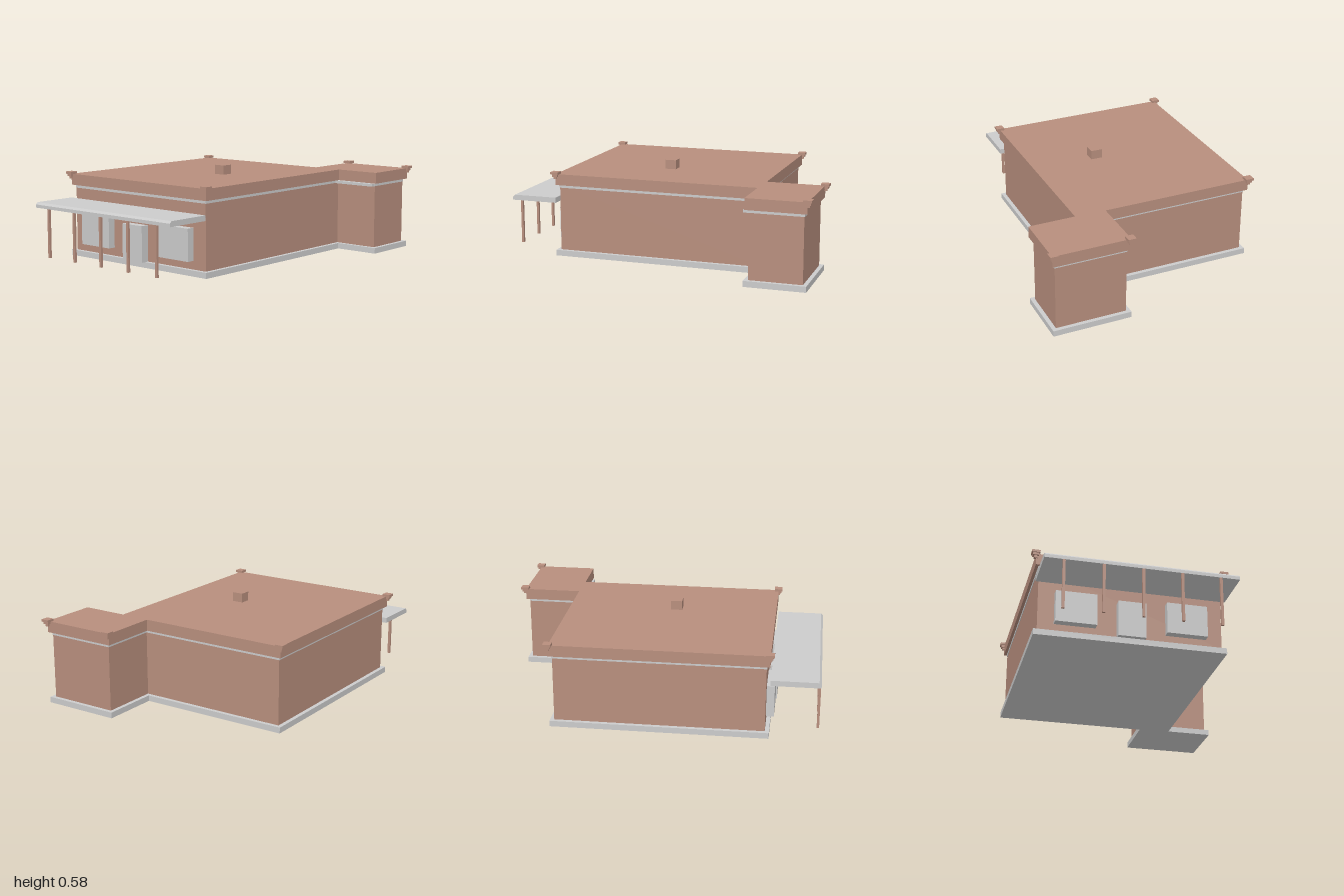
import * as THREE from 'three';

const grey = new THREE.MeshStandardMaterial({ color: 0xcccccc });
const brown = new THREE.MeshStandardMaterial({ color: 0xb78e7d });

export function createModel() {
  const model = new THREE.Group();

  function add(name, geometry, material) {
    const mesh = new THREE.Mesh(geometry, material);
    mesh.name = name;
    model.add(mesh);
    return mesh;
  }

  // Box given by its extents on each axis
  function box(name, material, x0, x1, y0, y1, z0, z1) {
    const g = new THREE.BoxGeometry(x1 - x0, y1 - y0, z1 - z0);
    g.translate((x0 + x1) / 2, (y0 + y1) / 2, (z0 + z1) / 2);
    return add(name, g, material);
  }

  // Layer of the building: hall plus rear annex footprint, grown outward by o
  function layer(name, material, o, y0, y1) {
    const outline = [
      [-0.70 - o, 0.68 + o], [0.41 + o, 0.68 + o],
      [0.41 + o, -0.625 + o], [0.70 + o, -0.625 + o],
      [0.70 + o, -0.95 - o], [0.26 - o, -0.95 - o],
      [0.26 - o, -0.59 - o], [-0.70 - o, -0.59 - o],
    ];
    const shape = new THREE.Shape(outline.map(([x, z]) => new THREE.Vector2(x, -z)));
    const g = new THREE.ExtrudeGeometry(shape, { depth: y1 - y0, bevelEnabled: false });
    g.rotateX(-Math.PI / 2).translate(0, y0, 0);
    add(name, g, material);
  }

  layer('foundation', grey, 0.025, 0, 0.036);
  layer('walls', brown, 0, 0.036, 0.455);
  layer('trimBand', grey, 0.003, 0.436, 0.455);
  layer('parapetAndRoof', brown, 0.021, 0.455, 0.525);
  box('annexTrim', grey, 0.41, 0.70, 0.435, 0.452, -0.63, -0.592);

  // Stepped ornaments on the roof corners
  const corners = [[-0.724, 0.70], [0.43, 0.70], [-0.724, -0.61], [0.247, -0.975], [0.717, -0.975]];
  for (const [x, z] of corners) {
    for (const [half, y0, y1] of [[0.025, 0.525, 0.54], [0.018, 0.51, 0.525], [0.01, 0.495, 0.51]]) {
      box('cornerOrnament', brown, x - half, x + half, y0, y1, z - half, z + half);
    }
  }

  box('chimney', brown, -0.025, 0.047, 0.52, 0.583, 0.037, 0.107);

  // Door and windows standing out from the front wall
  box('door', grey, -0.23, -0.063, 0.036, 0.26, 0.67, 0.732);
  box('windowRight', grey, -0.602, -0.355, 0.088, 0.285, 0.67, 0.728);
  box('windowLeft', grey, 0.065, 0.312, 0.088, 0.285, 0.67, 0.728);

  // Porch roof with a chamfered front edge, profile in z and y
  const profile = new THREE.Shape([
    [0.705, 0.34], [1.0, 0.34], [1.0, 0.36], [0.987, 0.373], [0.705, 0.373],
  ].map(([z, y]) => new THREE.Vector2(-z, y)));
  const porch = new THREE.ExtrudeGeometry(profile, { depth: 1.15, bevelEnabled: false });
  porch.rotateY(Math.PI / 2).translate(-0.72, 0, 0);
  add('porchRoof', porch, grey);

  // Porch posts
  for (let i = 0; i < 5; i++) {
    const x = -0.606 + i * 0.2305;
    box('porchPost', brown, x - 0.008, x + 0.008, 0.036, 0.34, 0.984, 0.999);
  }

  return model;
}
